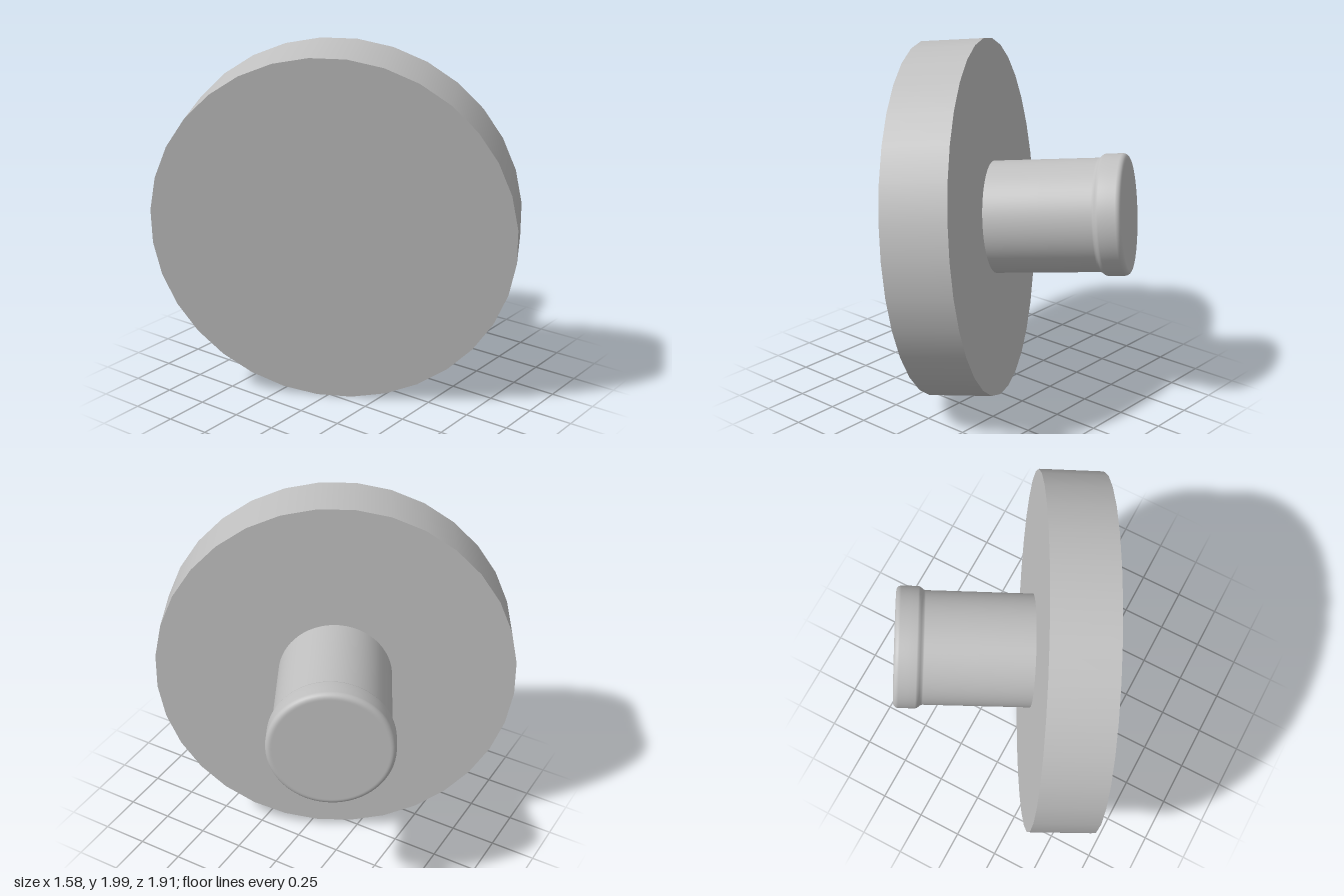
import * as THREE from 'three';

export function createModel() {
  const model = new THREE.Group();
  model.name = 'knob';

  const grey = new THREE.MeshStandardMaterial({ color: 0xc0c0c0 });
  grey.name = 'plain grey';

  const radius = 0.987;
  const thickness = 0.352;

  // Wide round disc, standing on its local y axis
  const disc = new THREE.Mesh(new THREE.CylinderGeometry(radius, radius, thickness, 32), grey);
  disc.name = 'disc';
  disc.position.y = thickness / 2;

  // Straight stem with a slightly wider, rounded head
  const profile = [
    [0.311, 0], [0.311, 0.3], [0.311, 0.585],
    [0.313, 0.594], [0.321, 0.604], [0.329, 0.614], [0.332, 0.624],
    [0.332, 0.67], [0.332, 0.715],
  ].map(([r, y]) => new THREE.Vector2(r, y));
  const round = 0.028;
  for (let i = 1; i <= 6; i++) {
    const a = (i / 6) * Math.PI / 2;
    profile.push(new THREE.Vector2(0.332 - round + round * Math.cos(a), 0.715 + round * Math.sin(a)));
  }
  profile.push(new THREE.Vector2(0.298, 0.743), new THREE.Vector2(0, 0.743));
  const stem = new THREE.Mesh(new THREE.LatheGeometry(profile, 64), grey);
  stem.name = 'stem';
  stem.position.y = thickness;

  // Both parts share one tilted axis, the disc resting on its rim
  const body = new THREE.Group();
  body.name = 'tiltedBody';
  body.add(disc, stem);
  const axis = new THREE.Vector3(0.88, 0.095, -0.466).normalize();
  body.quaternion.setFromUnitVectors(new THREE.Vector3(0, 1, 0), axis);
  body.position.set(-0.327, radius * Math.sqrt(1 - axis.y * axis.y), 0.08);
  model.add(body);

  return model;
}
